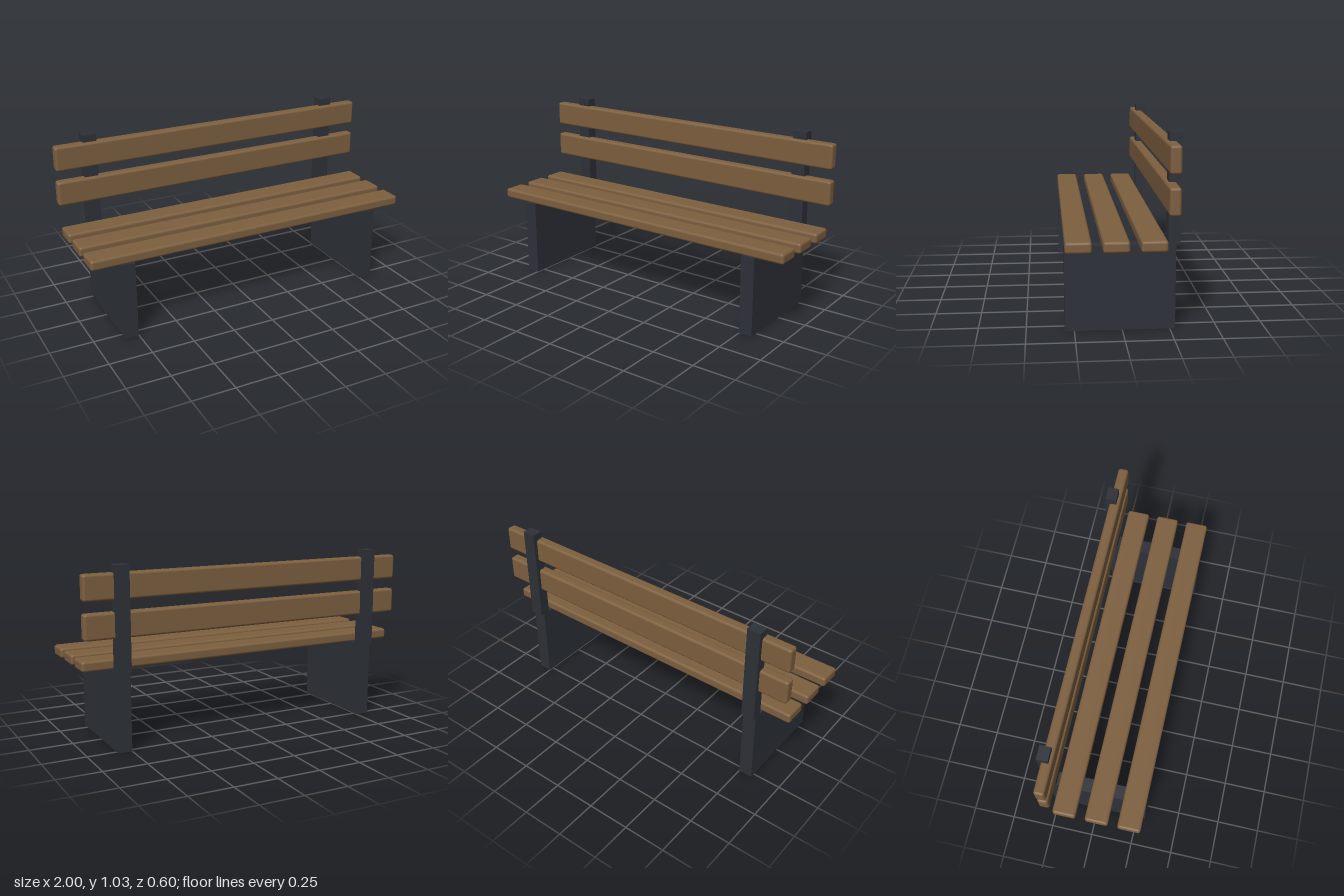
import * as THREE from 'three';
import { RoundedBoxGeometry } from 'three/addons/geometries/RoundedBoxGeometry.js';

export function createModel() {
  const bench = new THREE.Group();
  bench.name = 'bench';
  const wood = new THREE.MeshStandardMaterial({ color: 0x7d5f3f });
  const iron = new THREE.MeshStandardMaterial({ color: 0x2d3138 });

  const add = (name, geometry, material, x, y, z) => {
    const mesh = new THREE.Mesh(geometry, material);
    mesh.name = name;
    mesh.position.set(x, y, z);
    bench.add(mesh);
  };

  // Three seat slats, front to back
  const seatSlat = new RoundedBoxGeometry(2, 0.06, 0.135, 3, 0.015);
  [0.2325, 0.0425, -0.1475].forEach((z, i) =>
    add(`seatSlat${i + 1}`, seatSlat, wood, 0, 0.485, z));

  // Two backrest slats, let into the posts
  const backSlat = new RoundedBoxGeometry(2, 0.145, 0.06, 3, 0.015);
  [0.708, 0.917].forEach((y, i) =>
    add(`backSlat${i + 1}`, backSlat, wood, 0, y, -0.247));

  // Solid leg panels and the upright posts standing on their rear ends
  const leg = new THREE.BoxGeometry(0.08, 0.454, 0.578);
  const post = new THREE.BoxGeometry(0.08, 0.579, 0.064);
  for (const [side, x] of [['left', 0.79], ['right', -0.79]]) {
    add(`${side}Leg`, leg, iron, x, 0.227, 0.011);
    add(`${side}BackPost`, post, iron, x, 0.7435, -0.268);
  }
  return bench;
}
